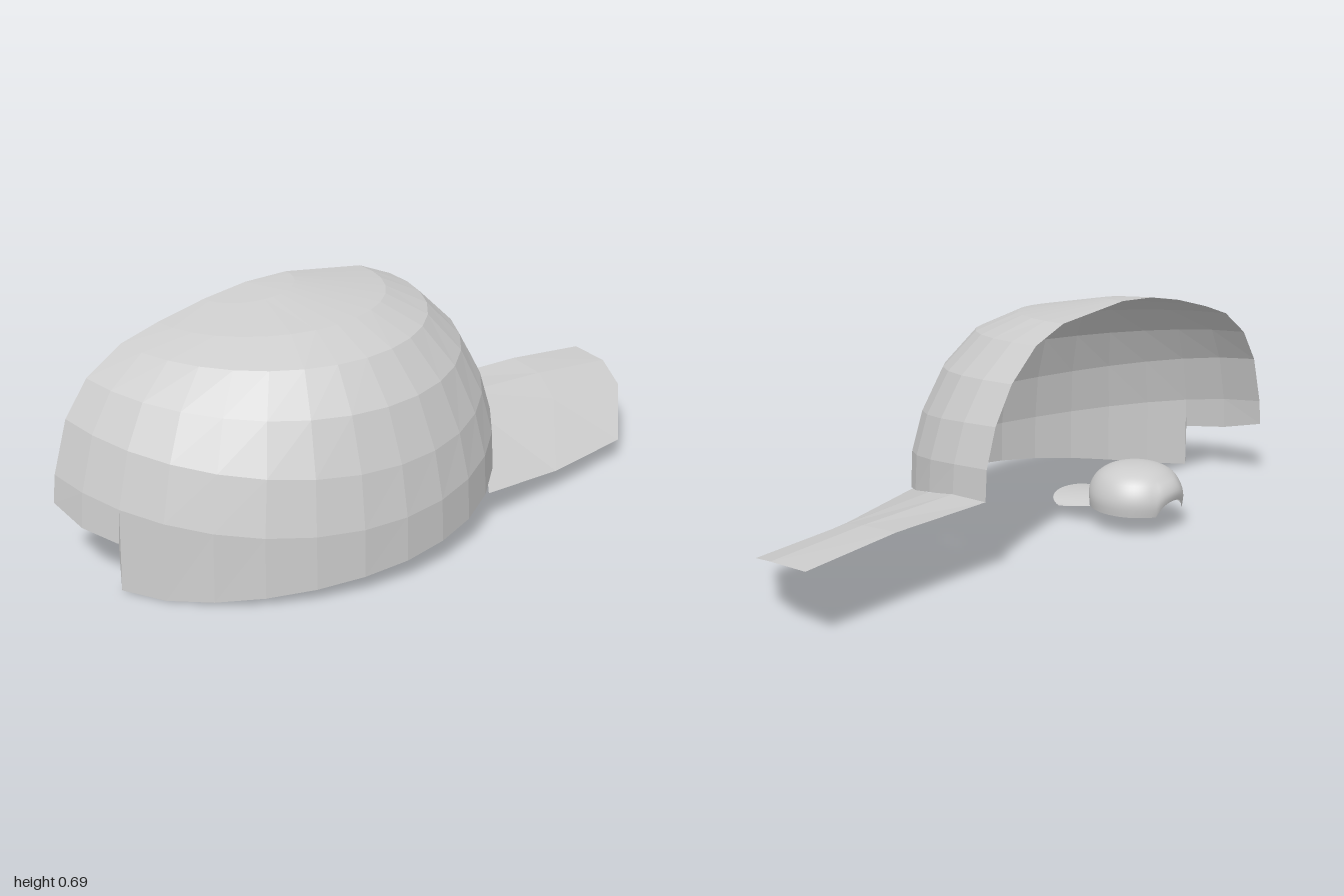
import * as THREE from 'three';
import { mergeVertices } from 'three/addons/utils/BufferGeometryUtils.js';

const { lerp } = THREE.MathUtils;
const CUT = -0.27; // plane where the large cap is cut in half, also the small cap's centre

// Surface through a grid of points: rows of equal length
function surface(name, rows, flat) {
  const cols = rows[0].length, index = [];
  for (let i = 0; i < rows.length - 1; i++) {
    for (let j = 0; j < cols - 1; j++) {
      const a = i * cols + j, b = a + 1, c = a + cols, d = c + 1;
      index.push(a, c, b, b, c, d);
    }
  }
  let geometry = new THREE.BufferGeometry();
  geometry.setAttribute('position', new THREE.Float32BufferAttribute(rows.flat(2), 3));
  geometry.setIndex(index);
  geometry = mergeVertices(geometry, 1e-5);
  geometry.computeVertexNormals();
  const material = new THREE.MeshStandardMaterial({ color: 0xcccccc, side: THREE.DoubleSide, flatShading: flat });
  const mesh = new THREE.Mesh(geometry, material);
  mesh.name = name;
  return mesh;
}

// Half crown of the large cap, built from tilted rings that sag at the side
function largeCrown() {
  const steps = [];
  for (let j = 0; j <= 16; j++) steps.push(j);
  steps.splice(15, 0, 14); // doubled column for the step of the adjuster opening
  const hem = [0.22, 0.213, 0.187, 0.155, 0.125, 0.098, 0.08, 0.067, 0.055,
    0.045, 0.034, 0.022, 0.01, 0.001, 0.004, 0.14, 0.14, 0.18];
  hem.splice(16, 1, 0.15); // rim above the opening
  // left x, left y, right x, right y, side z, side y
  const rings = [
    [-1, 0.18, 0.37, 0.22, 0.41, 0.055],
    [-0.99, 0.26, 0.365, 0.31, 0.405, 0.18],
    [-0.945, 0.41, 0.33, 0.42, 0.375, 0.32],
    [-0.875, 0.51, 0.265, 0.525, 0.315, 0.465],
    [-0.765, 0.585, 0.165, 0.615, 0.22, 0.575],
    [-0.65, 0.622, 0.05, 0.66, 0.09, 0.635],
    [-0.5, 0.66, -0.22, 0.69, -0.13, 0.673],
    [-0.36, 0.684, -0.36, 0.684, CUT, 0.684],
  ];
  const rows = rings.map(([lx, ly, rx, ry, sz, sy], i) => steps.map((s, j) => {
    const t = s * Math.PI / 16, k = (1 + Math.cos(t)) / 2;
    const sag = (sy - (ly + ry) / 2) * Math.sin(t) ** 1.4;
    const y = i === 0 ? hem[j] : lerp(ly, ry, k) + sag;
    return [lerp(lx, rx, k), y, CUT + (sz - CUT) * Math.sin(t)];
  }));
  return surface('largeCrown', rows, true);
}

// Half peak of the large cap, drooping towards its side
function largePeak() {
  const outer = [[1, 0.197, CUT], [0.99, 0.187, -0.13], [0.93, 0.15, 0], [0.735, 0.06, 0.19]];
  const middle = [[0.7, 0.22, CUT], [0.69, 0.207, -0.135], [0.63, 0.168, -0.005], [0.4, 0.062, 0.245]];
  const inner = [[0.37, 0.222, CUT], [0.358, 0.215, -0.137], [0.322, 0.187, -0.01], [0.09, 0.09, 0.283]];
  return surface('largePeak', [outer, middle, inner], true);
}

// Small complete cap, facing the front
function smallCap() {
  const group = new THREE.Group();
  group.name = 'smallCap';
  group.position.set(-0.305, 0, CUT);

  const profile = new THREE.SplineCurve([
    [0.138, 0.06], [0.142, 0.095], [0.133, 0.13], [0.112, 0.161], [0.078, 0.181], [0.038, 0.19], [0, 0.192],
  ].map(([r, y]) => new THREE.Vector2(r, y))).getPoints(18);
  const rows = profile.map((p, i) => {
    const row = [];
    for (let j = 0; j <= 64; j++) {
      const t = (j % 64) / 64 * Math.PI * 2;
      // angle from the back and the front sets the arched hem
      const back = Math.abs(t - Math.PI * 1.5), front = Math.abs(t - Math.PI / 2);
      let hem = 0.06;
      if (back < 0.44) hem += 0.04 * Math.sqrt(1 - (back / 0.44) ** 2);
      if (front < 0.85) hem += 0.02 * Math.cos(front / 0.85 * Math.PI / 2);
      const lift = (hem - 0.06) * Math.max(0, 1 - i / 9);
      row.push([p.x * Math.cos(t), p.y + lift, p.x * Math.sin(t)]);
    }
    return row;
  });
  group.add(surface('smallCrown', rows, false));

  // Curved peak: high in the middle, drooping at both sides
  const peak = [];
  for (let i = 0; i <= 8; i++) {
    const row = [], f = 1 - i / 8;
    for (let j = 0; j <= 20; j++) {
      const u = 1 - j / 10, a = u * 0.85;
      const x = lerp(0.14 * Math.sin(a), 0.115 * Math.sin(u * Math.PI / 2), f);
      const z = lerp(0.14 * Math.cos(a), 0.205 + 0.07 * Math.cos(u * Math.PI / 2), f);
      const y = lerp(0.08 - 0.02 * u * u, 0.063 - 0.023 * u * u, f);
      row.push([x, y, z]);
    }
    peak.push(row.reverse());
  }
  // columns run across the peak, so flip the rows to face it upwards
  group.add(surface('smallPeak', peak.reverse(), false));
  return group;
}

export function createModel() {
  const model = new THREE.Group();
  model.name = 'caps';
  const largeCap = new THREE.Group();
  largeCap.name = 'largeCap';
  largeCap.add(largeCrown(), largePeak());
  model.add(largeCap, smallCap());
  return model;
}
